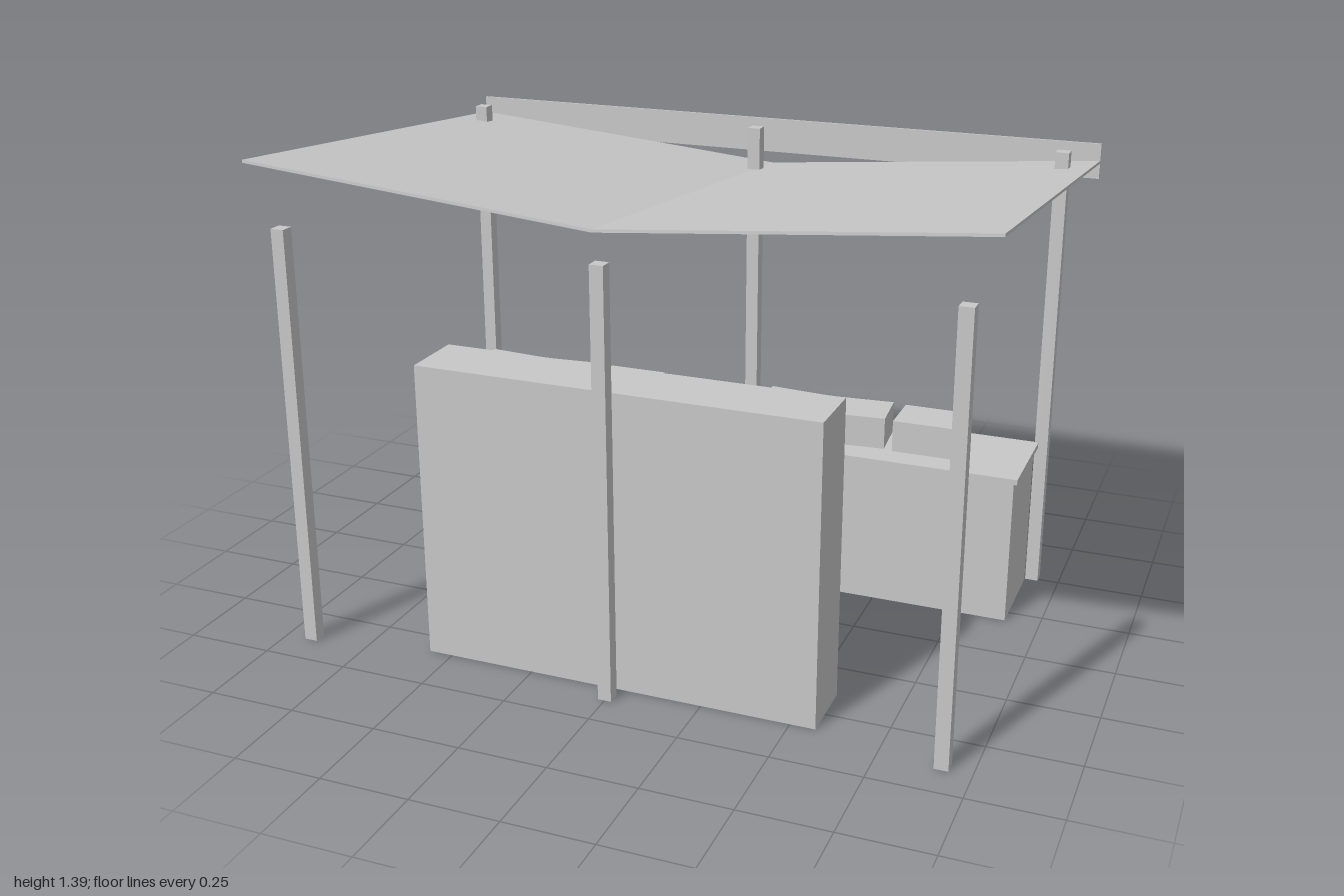
import * as THREE from 'three';

export function createModel() {
  const root = new THREE.Group();
  root.name = 'marketStall';
  const grey = new THREE.MeshStandardMaterial({ color: 0xc8c8c8 });
  grey.name = 'light grey';

  // Box given by its extents on each axis
  function block(name, [x0, x1], [y0, y1], [z0, z1], parent = root) {
    const mesh = new THREE.Mesh(new THREE.BoxGeometry(x1 - x0, y1 - y0, z1 - z0), grey);
    mesh.position.set((x0 + x1) / 2, (y0 + y1) / 2, (z0 + z1) / 2);
    mesh.name = name;
    parent.add(mesh);
    return mesh;
  }

  // Posts: the back row pokes through the roof, the front row stops below it
  for (const x of [-0.92, 0, 0.92]) {
    const span = [x - 0.019, x + 0.019];
    block('frontPost', span, [0, 1.21], [0.611, 0.649]);
    block('backPost', span, [0, 1.33], [-0.528, -0.49]);
  }

  // Tall front counter
  block('frontCounter', [-0.57, 0.57], [0, 0.855], [0.393, 0.581]);

  // Two back tables, each with a row of three boxes set slightly askew
  const turns = [-0.087, 0.087, 0];
  for (const cx of [-0.4825, 0.4825]) {
    const table = new THREE.Group();
    table.name = 'backTable';
    table.position.x = cx;
    root.add(table);
    block('tableBody', [-0.4175, 0.4175], [0, 0.435], [-0.484, -0.197], table);
    block('tableTop', [-0.429, 0.429], [0.435, 0.451], [-0.495, -0.186], table);
    turns.forEach((turn, i) => {
      const x = -0.3 + i * 0.2155;
      const crate = block('goodsBox', [x - 0.0915, x + 0.0915], [0.451, 0.546], [-0.4125, -0.2675], table);
      crate.rotation.y = turn;
    });
  }

  // Valley roof: thin V profile, tilted up towards the front
  const rise = 0.087, thick = 0.008, depth = 1.345;
  const profile = new THREE.Shape([
    [-1, rise], [0, 0], [1, rise], [1, rise + thick], [0, thick], [-1, rise + thick],
  ].map(([x, y]) => new THREE.Vector2(x, y)));
  const roofGeometry = new THREE.ExtrudeGeometry(profile, { depth, bevelEnabled: false });
  roofGeometry.translate(0, 0, -depth / 2);
  const roof = new THREE.Mesh(roofGeometry, grey);
  roof.name = 'roof';
  roof.rotation.x = -THREE.MathUtils.degToRad(5);
  roof.position.y = 1.239;
  root.add(roof);

  // Gutter board along the back edge
  block('backFascia', [-1, 1], [1.222, 1.325], [-0.68, -0.673]);

  return root;
}
